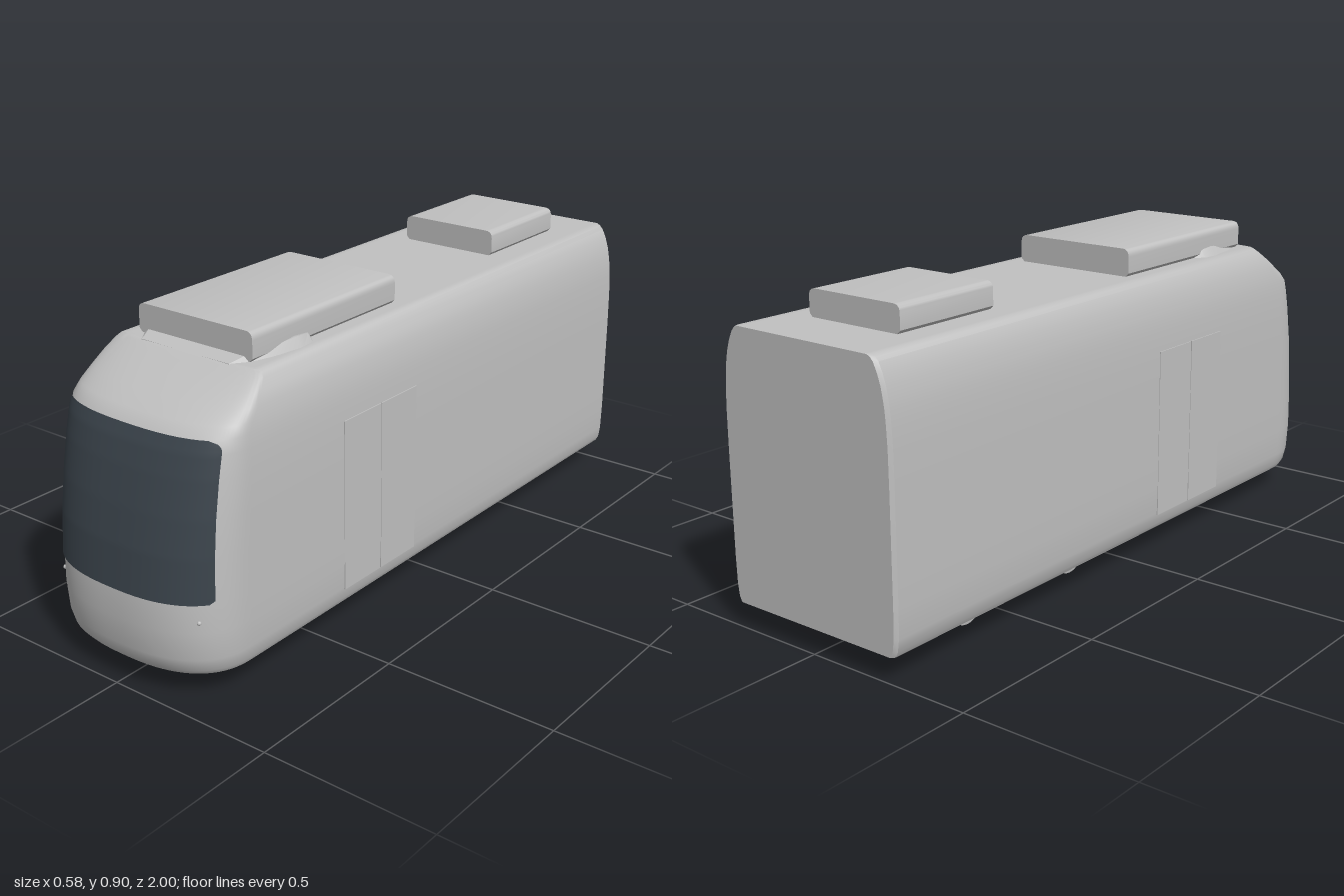
import * as THREE from 'three';
import { toCreasedNormals } from 'three/addons/utils/BufferGeometryUtils.js';

const POWER = 2.5; // squareness of the nose in plan

// body levels: height, half width, nose z, nose depth
const LEVELS = [
  [0.07, 0.276, 0.972, 0.19], [0.085, 0.284, 0.985, 0.2], [0.12, 0.289, 0.994, 0.2],
  [0.2, 0.291, 1, 0.2], [0.28, 0.291, 0.998, 0.2], [0.4, 0.291, 0.985, 0.19],
  [0.5, 0.291, 0.966, 0.175], [0.6, 0.29, 0.942, 0.16], [0.66, 0.287, 0.924, 0.145],
  [0.695, 0.284, 0.908, 0.13], [0.72, 0.28, 0.875, 0.11], [0.75, 0.274, 0.826, 0.09],
  [0.78, 0.264, 0.772, 0.06], [0.805, 0.252, 0.728, 0.04], [0.815, 0.243, 0.71, 0.03],
  [0.82, 0.232, 0.7, 0.02], [0.82, 0.215, 0.69, 0.02],
];

// skin between closed rings of points, with both ends capped
function loft(rings, crease = 0.6) {
  const n = rings[0].length;
  const pos = rings.flat(2);
  const idx = [];
  for (let j = 0; j < rings.length - 1; j++) {
    for (let i = 0; i < n; i++) {
      const a = j * n + i, b = j * n + (i + 1) % n;
      idx.push(a, a + n, b + n, a, b + n, b);
    }
  }
  [0, rings.length - 1].forEach((j, end) => {
    const c = pos.length / 3;
    for (let k = 0; k < 3; k++) pos.push(rings[j].reduce((s, p) => s + p[k], 0) / n);
    for (let i = 0; i < n; i++) {
      const a = j * n + i, b = j * n + (i + 1) % n;
      if (end) idx.push(c, b, a); else idx.push(c, a, b);
    }
  });
  const geo = new THREE.BufferGeometry();
  geo.setAttribute('position', new THREE.Float32BufferAttribute(pos, 3));
  geo.setIndex(idx);
  return toCreasedNormals(geo, crease);
}

// plan outline of the body at one level
function bodyRing([y, w, f, d]) {
  const ring = [[w - 0.008, y, -1], [w, y, -0.99]];
  const steps = 48;
  for (let i = 0; i <= steps; i++) {
    const t = Math.PI * i / steps, c = Math.cos(t), s = Math.max(0, Math.sin(t));
    ring.push([
      w * Math.sign(c) * Math.abs(c) ** (2 / POWER), y,
      f - d + d * s ** (2 / POWER),
    ]);
  }
  ring.push([-w, y, -0.99], [-w + 0.008, y, -1]);
  return ring;
}

// z of the nose surface
function noseZ(x, y) {
  let j = 0;
  while (j < LEVELS.length - 2 && LEVELS[j + 1][0] < y) j++;
  const A = LEVELS[j], B = LEVELS[j + 1];
  const t = (y - A[0]) / (B[0] - A[0]);
  const [w, f, d] = [1, 2, 3].map(k => THREE.MathUtils.lerp(A[k], B[k], t));
  const r = Math.min(1, Math.abs(x) / w);
  return f - d + d * (1 - r ** POWER) ** (1 / POWER);
}

// curved glass following the nose, with rounded corners
function windscreenGeometry() {
  const y0 = 0.28, y1 = 0.695;
  const geo = new THREE.PlaneGeometry(2, 1, 48, 48);
  const p = geo.attributes.position;
  const inset = (gap, r) => gap < r ? r - Math.sqrt(r * r - (r - gap) ** 2) : 0;
  for (let i = 0; i < p.count; i++) {
    const v = p.getY(i) + 0.5;
    const y = THREE.MathUtils.lerp(y0, y1, v);
    const half = 0.267 - 0.005 * v - inset(y1 - y, 0.03) - inset(y - y0, 0.008);
    const x = p.getX(i) * half;
    p.setXYZ(i, x * 1.008, y, noseZ(x, y) + 0.004);
  }
  geo.computeVertexNormals();
  return geo;
}

// roof box with rounded upper edges
function roofUnitGeometry(half, top, length) {
  const y0 = 0.818, r = 0.022;
  const s = new THREE.Shape();
  s.moveTo(-half + 0.012, y0);
  s.lineTo(half - 0.012, y0);
  s.lineTo(half, y0 + 0.012);
  s.lineTo(half, top - r);
  s.quadraticCurveTo(half, top, half - r, top);
  s.lineTo(-half + r, top);
  s.quadraticCurveTo(-half, top, -half, top - r);
  s.lineTo(-half, y0 + 0.012);
  s.closePath();
  const geo = new THREE.ExtrudeGeometry(s, { depth: length, bevelEnabled: false, curveSegments: 6 });
  return toCreasedNormals(geo, 0.5);
}

export function createModel() {
  const model = new THREE.Group();
  const paint = new THREE.MeshStandardMaterial({ color: 0xc0c0c0 });
  paint.name = 'light grey';
  const glass = new THREE.MeshStandardMaterial({ color: 0x3b444c, side: THREE.DoubleSide });
  glass.name = 'dark glass';

  const add = (name, geo, mat, x = 0, y = 0, z = 0) => {
    const mesh = new THREE.Mesh(geo, mat);
    mesh.name = name;
    mesh.position.set(x, y, z);
    model.add(mesh);
    return mesh;
  };

  add('body', loft(LEVELS.map(bodyRing)), paint);
  add('windscreen', windscreenGeometry(), glass);

  // roof equipment and the fairing below the front box
  add('frontRoofUnit', roofUnitGeometry(0.195, 0.9, 0.59), paint, -0.002, 0, 0.07);
  add('rearRoofUnit', roofUnitGeometry(0.157, 0.895, 0.345), paint, -0.002, 0, -0.82);
  const fairing = [
    [0.42, 0.19, 0.18, 0.822], [0.45, 0.218, 0.196, 0.842], [0.5, 0.222, 0.2, 0.846],
    [0.6, 0.208, 0.185, 0.838], [0.66, 0.19, 0.165, 0.832], [0.7, 0.16, 0.15, 0.82],
  ].map(([z, b, t, y]) => [[-b, 0.812, z], [-t, y, z], [t, y, z], [b, 0.812, z]]);
  add('roofFairing', loft(fairing), paint);

  // wheel profile, tread on the outside and flange on the inside
  const wheelProfile = [
    [0, -0.017], [0.064, -0.017], [0.072, -0.013], [0.072, -0.008],
    [0.066, -0.003], [0.063, 0.017], [0.05, 0.019], [0, 0.019],
  ].map(([r, h]) => new THREE.Vector2(r, h));
  const wheelGeo = toCreasedNormals(new THREE.LatheGeometry(wheelProfile, 40), 0.5);
  const axleGeo = new THREE.CylinderGeometry(0.008, 0.008, 0.34, 12);
  const leafGeo = new THREE.BoxGeometry(0.008, 0.495, 0.158);
  const lampGeo = new THREE.SphereGeometry(0.006, 12, 8);

  for (const z of [-0.2, -0.64]) {
    add('axle', axleGeo, paint, 0, 0.072, z).rotation.z = Math.PI / 2;
  }
  for (const side of [1, -1]) {
    for (const z of [-0.2, -0.64]) {
      add('wheel', wheelGeo, paint, side * 0.181, 0.072, z).rotation.z = -side * Math.PI / 2;
    }
    // double door
    for (const z of [0.179, 0.341]) add('doorLeaf', leafGeo, paint, side * 0.2885, 0.3625, z);
    add('noseLamp', lampGeo, paint, side * 0.24, 0.23, noseZ(0.24, 0.23));
  }
  return model;
}
